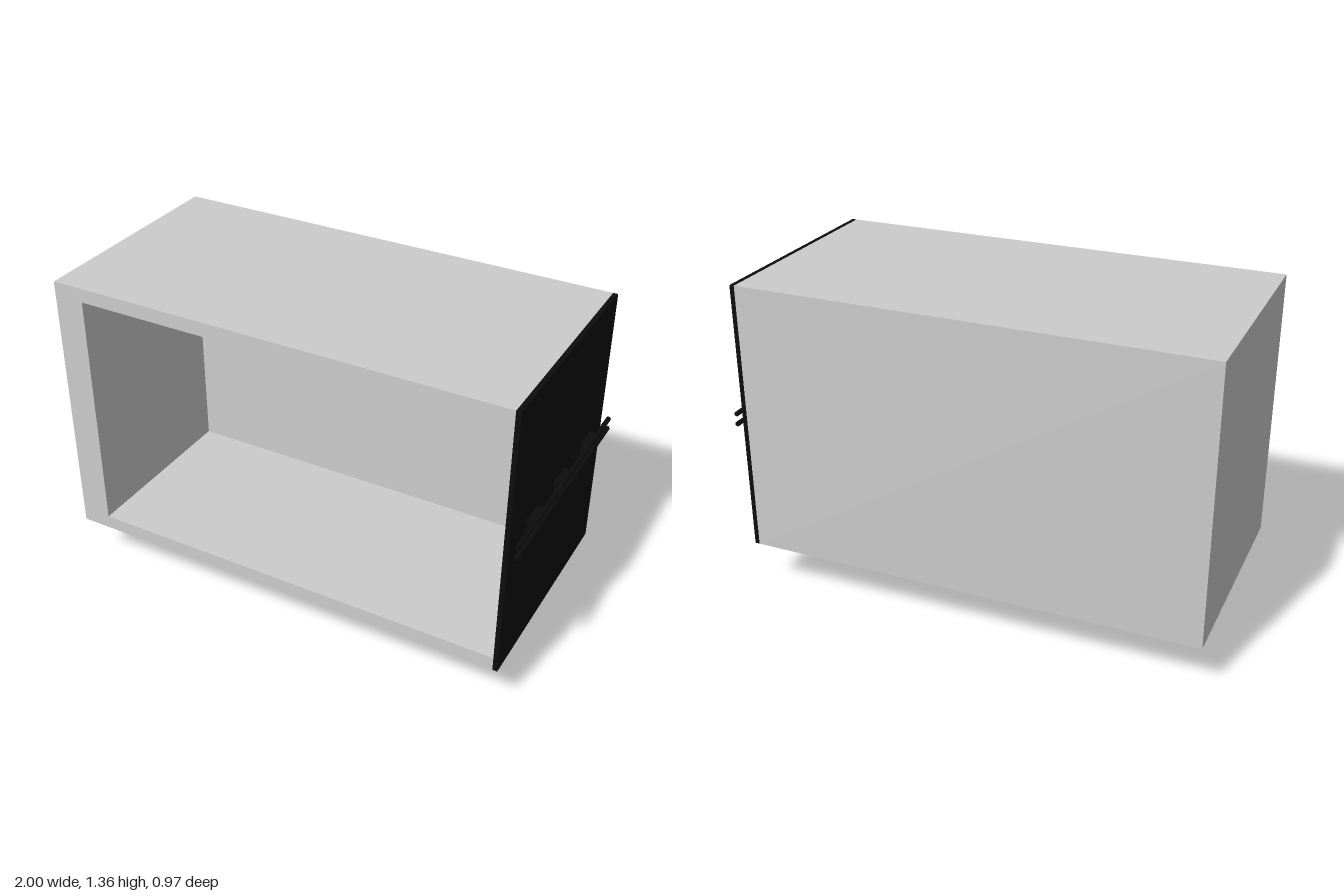
import * as THREE from 'three';

export function createModel() {
  const model = new THREE.Group();
  const grey = new THREE.MeshStandardMaterial({ color: 0xcccccc });
  const black = new THREE.MeshStandardMaterial({ color: 0x0d0d0d });

  // Box given by its lower and upper limits on each axis
  const addBox = (name, [x0, x1], [y0, y1], [z0, z1], material, parent = model) => {
    const mesh = new THREE.Mesh(new THREE.BoxGeometry(x1 - x0, y1 - y0, z1 - z0), material);
    mesh.position.set((x0 + x1) / 2, (y0 + y1) / 2, (z0 + z1) / 2);
    mesh.name = name;
    parent.add(mesh);
    return mesh;
  };

  // Cabinet walls: C-shaped section, open towards the side panel
  const frontZ = 0.485, cavityZ = -0.29;
  const section = new THREE.Shape([
    [-1, 0.2], [0.94, 0.2], [0.94, 0.26], [-0.87, 0.26],
    [-0.87, 1.3], [0.94, 1.3], [0.94, 1.36], [-1, 1.36],
  ].map(([x, y]) => new THREE.Vector2(x, y)));
  const walls = new THREE.Mesh(
    new THREE.ExtrudeGeometry(section, { depth: frontZ - cavityZ, bevelEnabled: false }), grey);
  walls.position.z = cavityZ;
  walls.name = 'cabinetWalls';
  model.add(walls);

  // Thick back wall and block underneath
  addBox('cabinetBack', [-1, 0.94], [0.2, 1.36], [-frontZ, cavityZ], grey);
  addBox('foot', [0.55, 0.87], [0, 0.2], [-0.19, 0.1], grey);

  // Dark panel closing the left side
  addBox('sidePanel', [0.94, 0.96], [0.2, 1.36], [-frontZ, frontZ], black);

  // Two parallel rails, each held by three brackets
  for (const y of [0.757, 0.802]) {
    const rail = new THREE.Group();
    rail.name = y < 0.78 ? 'lowerRail' : 'upperRail';
    const bar = new THREE.Mesh(new THREE.CylinderGeometry(0.01, 0.01, 2 * frontZ, 16), black);
    bar.rotation.x = Math.PI / 2;
    bar.position.set(0.99, y, 0);
    bar.name = 'railBar';
    rail.add(bar);
    for (const z of [-0.285, 0, 0.28]) {
      addBox('railBracket', [0.96, 0.99], [y - 0.01, y + 0.01], [z - 0.055, z + 0.055], black, rail);
    }
    model.add(rail);
  }
  return model;
}
